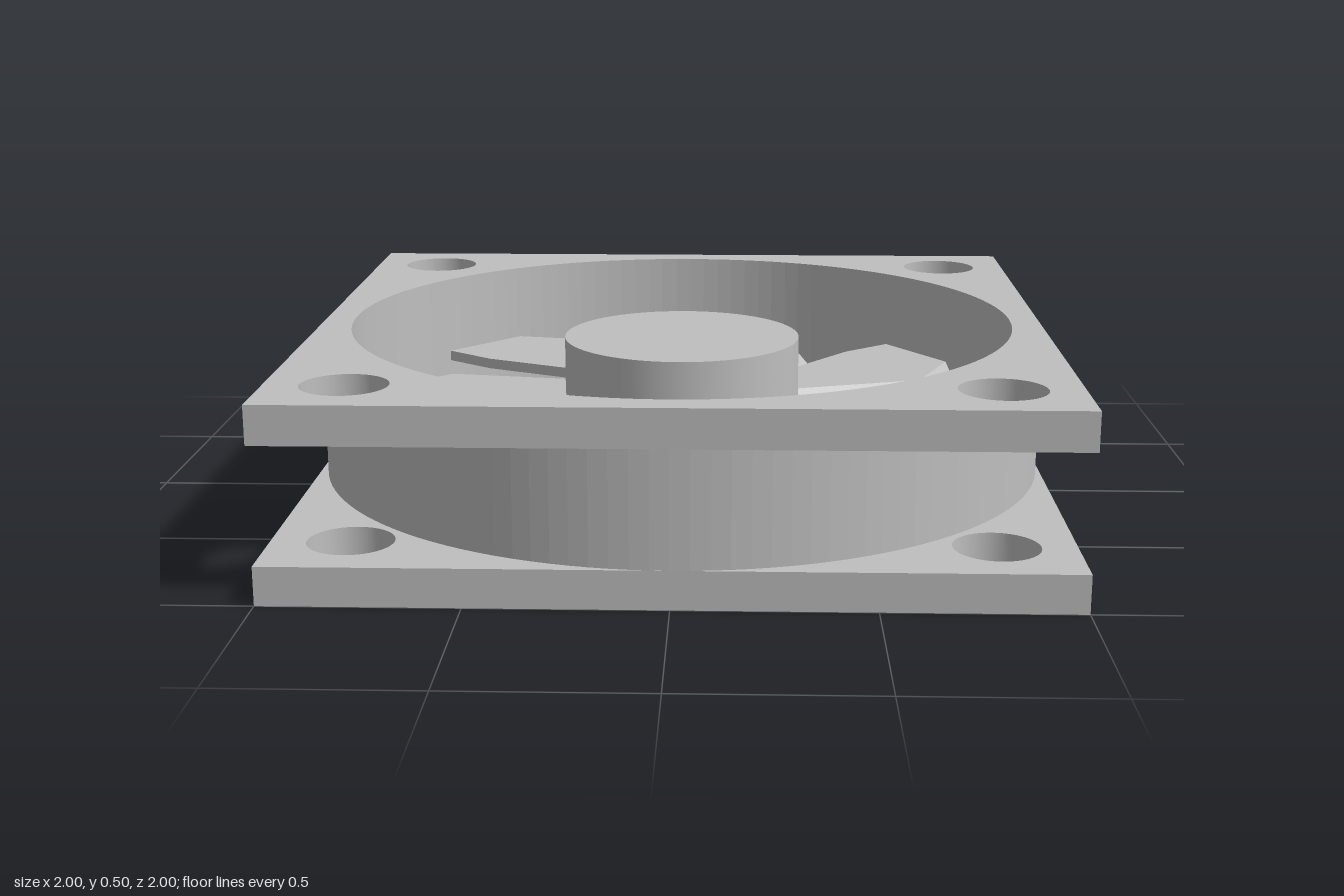
import * as THREE from 'three';

const grey = new THREE.MeshStandardMaterial({ color: 0xbfbfbf });
grey.name = 'grey plastic';

function part(name, geometry, y = 0) {
  const mesh = new THREE.Mesh(geometry, grey);
  mesh.name = name;
  mesh.position.y = y;
  return mesh;
}

function circle(r, x = 0, y = 0, Type = THREE.Path) {
  const c = new Type();
  c.absarc(x, y, r, 0, Math.PI * 2, false);
  return c;
}

// Extrude a flat outline upwards from y = 0
function slab(shape, height) {
  const g = new THREE.ExtrudeGeometry(shape, { depth: height, bevelEnabled: false, curveSegments: 64 });
  return g.rotateX(-Math.PI / 2);
}

// Square flange with the air opening and four screw holes
function flangeGeometry() {
  const s = new THREE.Shape([[-1, -1], [1, -1], [1, 1], [-1, 1]].map(p => new THREE.Vector2(...p)));
  s.holes.push(circle(0.92));
  for (const x of [-0.8, 0.8]) for (const z of [-0.8, 0.8]) s.holes.push(circle(0.11, x, z));
  return slab(s, 0.1);
}

// Folded blade: flat top panel and a steep trailing panel, lofted outwards
function bladeGeometry() {
  const topY = 0.29, thick = 0.03;
  // radius, then bearings of leading edge, fold and trailing edge, then trailing height
  const stations = [
    [0.30, 3, 35, 50, 0.15],
    [0.70, -6.7, 27.3, 43.7, 0.12],
    [0.87, -5.6, 13.3, 30.7, 0.12],
  ];
  const sections = stations.map(([r, lead, fold, tail, tailY]) => {
    const at = (deg, y) => {
      const a = THREE.MathUtils.degToRad(deg);
      return [r * Math.sin(a), y, -r * Math.cos(a)];
    };
    return [
      at(lead, topY), at(fold, topY), at(tail, tailY),
      at(tail, tailY - thick), at(fold, topY - thick), at(lead, topY - thick),
    ];
  });
  const pos = [];
  const quad = (a, b, c, d) => pos.push(...a, ...b, ...c, ...a, ...c, ...d);
  for (let s = 0; s < 2; s++) {
    const p = sections[s], q = sections[s + 1];
    for (let k = 0; k < 6; k++) {
      const n = (k + 1) % 6;
      quad(p[k], p[n], q[n], q[k]);
    }
  }
  // Tip cap
  const t = sections[2];
  quad(t[0], t[1], t[4], t[5]);
  quad(t[1], t[2], t[3], t[4]);
  const g = new THREE.BufferGeometry();
  g.setAttribute('position', new THREE.Float32BufferAttribute(pos, 3));
  g.computeVertexNormals();
  return g;
}

export function createModel() {
  const model = new THREE.Group();
  model.name = 'coolingFan';

  // Housing: two flanges joined by a round duct
  const flange = flangeGeometry();
  model.add(part('bottomFlange', flange), part('topFlange', flange, 0.4));
  const ring = circle(1, 0, 0, THREE.Shape);
  ring.holes.push(circle(0.92));
  model.add(part('duct', slab(ring, 0.3), 0.1));

  // Diagonal support struts under the hub
  for (const turn of [1, -1]) {
    const strut = part('strut', new THREE.BoxGeometry(1.86, 0.1, 0.09), 0.05);
    strut.rotation.y = turn * Math.PI / 4;
    model.add(strut);
  }

  // Rotor: hub and seven blades
  const rotor = new THREE.Group();
  rotor.name = 'rotor';
  rotor.add(part('hub', new THREE.CylinderGeometry(0.33, 0.33, 0.35, 64), 0.275));
  const blade = bladeGeometry();
  for (let i = 0; i < 7; i++) {
    const b = part('blade', blade);
    b.rotation.y = -i * Math.PI * 2 / 7;
    rotor.add(b);
  }
  model.add(rotor);
  return model;
}
